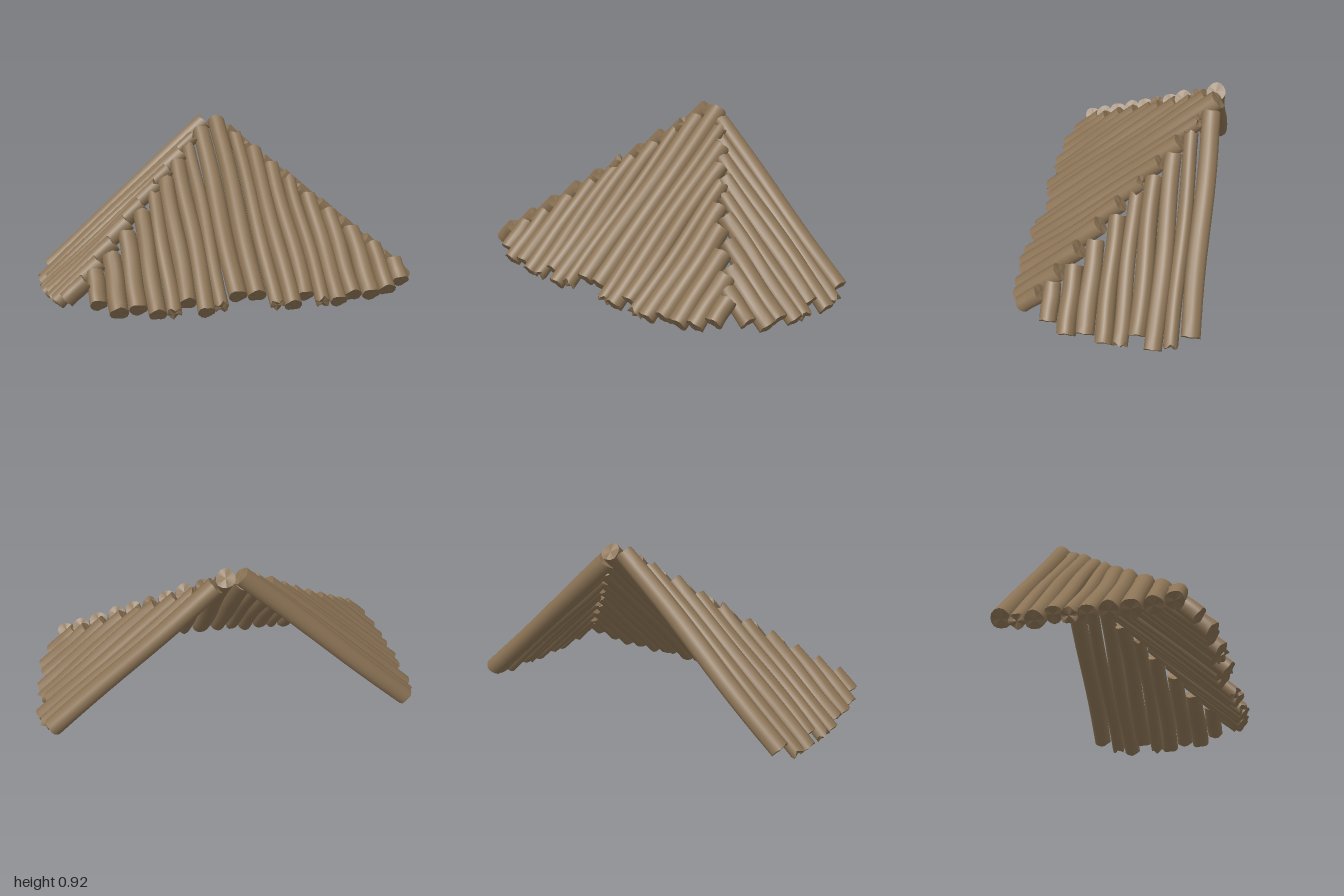
import * as THREE from 'three';

// One roof face: [x, radius, lowest y, highest y] of each log
const LOGS = [
  [-0.745, 0.043, 0.06, 0.25], [-0.65, 0.048, 0.02, 0.315], [-0.56, 0.046, 0.03, 0.40],
  [-0.468, 0.045, 0.008, 0.487], [-0.388, 0.038, 0.015, 0.56], [-0.307, 0.046, 0.043, 0.63],
  [-0.222, 0.044, 0.004, 0.71], [-0.142, 0.037, 0.025, 0.78], [-0.056, 0.048, 0.053, 0.866],
  [0.047, 0.048, 0.053, 0.918], [0.136, 0.037, 0.02, 0.834], [0.217, 0.045, 0.008, 0.765],
  [0.297, 0.042, 0.043, 0.684], [0.382, 0.038, 0.016, 0.61], [0.463, 0.044, 0.01, 0.53],
  [0.548, 0.046, 0.03, 0.455], [0.644, 0.048, 0.027, 0.374], [0.74, 0.045, 0.043, 0.30],
  [0.826, 0.044, 0.075, 0.228],
];
const SLOPE = 0.896;                     // rise over run of every face
const TILT = Math.atan2(1, SLOPE);       // lean away from vertical
const APEX_Z = -0.498;                   // pyramid axis

const axisZ = (y) => 0.974 - (y - 0.035) / SLOPE;

// Slightly bent, uneven log lying along the slope
function logGeometry(radius, length, seed) {
  const g = new THREE.CylinderGeometry(radius, radius, length, 14, 12);
  g.rotateY(Math.PI);                    // seam on the underside
  const p = g.attributes.position;
  const narrow = radius < 0.04;
  const bend = Math.min(0.005, length * 0.006);
  for (let i = 0; i < p.count; i++) {
    const x = p.getX(i), y = p.getY(i), z = p.getZ(i);
    const r = Math.hypot(x, z) / radius;
    const a = r > 0.01 ? Math.atan2(x, z) : 0;
    const u = y / length + 0.5;
    const swell = 1 + 0.035 * Math.sin(3 * a + seed) + 0.025 * Math.sin(2 * a + u * 6 + seed * 2);
    // ragged ends on the narrow logs
    const end = Math.abs(u - 0.5) > 0.49 ? r * (narrow ? 0.012 : 0.003) * Math.sin(4 * a + seed) : 0;
    p.setXYZ(i,
      x * swell + bend * Math.sin(u * 7 + seed * 1.7),
      y + end,
      z * swell + bend * 0.6 * Math.sin(u * 5 + seed * 2.3));
  }
  g.computeVertexNormals();
  return g;
}

// A face of parallel logs, leaning toward the apex
function roofFace(name, logs, material) {
  const face = new THREE.Group();
  face.name = name;
  for (const [x, radius, low, high] of logs) {
    const drop = radius * Math.sin(TILT);
    const y0 = low + drop, y1 = high - drop;
    const length = (y1 - y0) / Math.cos(TILT);
    const log = new THREE.Mesh(logGeometry(radius, length, x * 37), material);
    log.name = 'log';
    log.rotation.x = -TILT;
    const y = (y0 + y1) / 2;
    log.position.set(x, y, axisZ(y));
    face.add(log);
  }
  face.position.z = APEX_Z;
  return face;
}

export function createModel() {
  const wood = new THREE.MeshStandardMaterial({ color: 0x8b7355 });
  wood.name = 'brownWood';
  const model = new THREE.Group();
  model.name = 'logRoof';

  // Full front face, then a half face on each side
  model.add(roofFace('frontFace', LOGS, wood));
  const right = roofFace('rightFace', LOGS.filter((l) => l[0] > 0), wood);
  right.rotation.y = -Math.PI / 2;
  const left = roofFace('leftFace', LOGS.filter((l) => l[0] < 0), wood);
  left.rotation.y = Math.PI / 2;
  model.add(right, left);
  return model;
}
